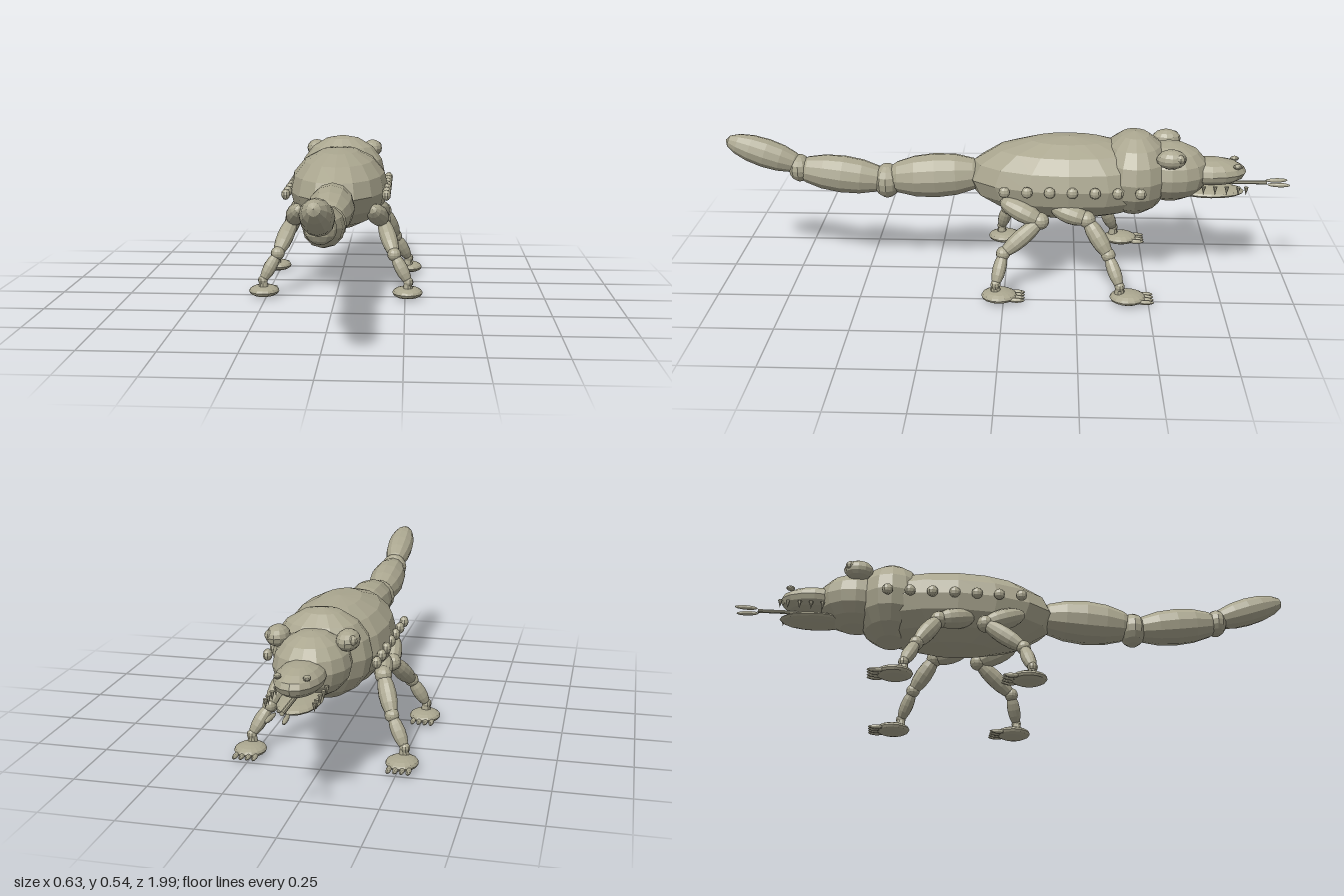
import * as THREE from 'three';

const skin = new THREE.MeshStandardMaterial({ color: 0xaaa68f, flatShading: true });
skin.name = 'skin';
const V = (x, y, z) => new THREE.Vector3(x, y, z);

export function createModel() {
  const model = new THREE.Group();
  model.name = 'lizard';

  const add = (name, geometry, parent = model) => {
    const mesh = new THREE.Mesh(geometry, skin);
    mesh.name = name;
    parent.add(mesh);
    return mesh;
  };
  // Low-poly ellipsoid from centre and radii
  const blob = (name, c, r, parent = model, w = 16, h = 8) => {
    const m = add(name, new THREE.SphereGeometry(1, w, h), parent);
    m.position.set(...c);
    m.scale.set(...r);
    return m;
  };
  // Ellipsoid stretched between two points
  const limb = (name, a, b, radius, parent = model, extra = 0.012) => {
    const d = b.clone().sub(a);
    const m = add(name, new THREE.SphereGeometry(1, 12, 8), parent);
    m.position.copy(a).add(b).multiplyScalar(0.5);
    m.scale.set(radius, d.length() / 2 + extra, radius);
    m.quaternion.setFromUnitVectors(V(0, 1, 0), d.normalize());
    return m;
  };

  // Trunk
  blob('body', [0, 0.37, -0.22], [0.183, 0.148, 0.36]);
  blob('shoulders', [0, 0.39, -0.45], [0.165, 0.15, 0.13]);

  // Head, jaws and tongue
  const head = new THREE.Group();
  head.name = 'head';
  model.add(head);
  blob('skull', [0, 0.395, -0.575], [0.125, 0.105, 0.14], head);
  blob('upperJaw', [0, 0.395, -0.72], [0.077, 0.048, 0.125], head);
  blob('lowerJaw', [0, 0.322, -0.72], [0.068, 0.018, 0.122], head);
  const tongue = add('tongue', new THREE.CylinderGeometry(0.007, 0.007, 0.2, 8), head);
  tongue.rotation.x = Math.PI / 2;
  tongue.position.set(0, 0.353, -0.82);

  for (const s of [1, -1]) {
    blob('eye', [s * 0.112, 0.475, -0.57], [0.038, 0.034, 0.052], head, 12, 8);
    blob('pupil', [s * 0.132, 0.482, -0.598], [0.016, 0.016, 0.018], head, 8, 6);
    blob('nostril', [s * 0.045, 0.426, -0.808], [0.012, 0.009, 0.016], head, 8, 6);
    limb('tongueFork', V(s * 0.02, 0.353, -0.925), V(s * 0.026, 0.353, -0.992), 0.008, head, 0.006);
    for (const z of [-0.69, -0.73, -0.77, -0.81, -0.837]) {
      const tooth = add('tooth', new THREE.ConeGeometry(0.008, 0.03, 6), head);
      tooth.rotation.x = Math.PI;
      tooth.position.set(s * 0.074, 0.348, z);
    }
    // Row of bumps along each flank
    for (let i = 0; i < 7; i++) {
      blob('flankBump', [s * 0.18, 0.372, -i * 0.0775], [0.016, 0.02, 0.02], model, 10, 6);
    }
  }

  // Tail
  const tail = new THREE.Group();
  tail.name = 'tail';
  model.add(tail);
  limb('tailBase', V(0, 0.375, 0.07), V(0, 0.353, 0.43), 0.08, tail);
  blob('tailJoint', [0, 0.342, 0.425], [0.062, 0.062, 0.05], tail, 12, 8);
  limb('tailMiddle', V(0, 0.342, 0.42), V(0, 0.385, 0.75), 0.067, tail);
  blob('tailJoint', [0, 0.385, 0.737], [0.05, 0.049, 0.04], tail, 12, 8);
  limb('tailTip', V(0, 0.395, 0.73), V(0, 0.483, 0.985), 0.052, tail);

  // Legs: hip, elbow or knee, ankle, foot and toes
  const leg = (name, s, hip, thigh, knee, ankle, footZ) => {
    const g = new THREE.Group();
    g.name = name;
    model.add(g);
    const p = (a) => V(s * a[0], a[1], a[2]);
    limb('hip', p(hip), p(thigh), 0.037, g);
    blob('hipJoint', p(thigh).toArray(), [0.03, 0.03, 0.03], g, 12, 8);
    limb('thigh', p(thigh), p(knee), 0.031, g);
    blob('kneeJoint', p(knee).toArray(), [0.025, 0.025, 0.025], g, 12, 8);
    limb('shin', p(knee), p(ankle), 0.024, g, 0.006);
    blob('ankleJoint', p(ankle).toArray(), [0.018, 0.018, 0.018], g, 10, 6);
    const post = add('anklePost', new THREE.CylinderGeometry(0.014, 0.019, 0.03, 10), g);
    post.position.set(s * 0.26, 0.046, ankle[2]);
    blob('foot', [s * 0.259, 0.022, footZ], [0.055, 0.021, 0.062], g);
    for (let i = 0; i < 4; i++) {
      const x = 0.226 + i * 0.022;
      blob('toe', [s * x, 0.018, footZ - 0.06], [0.009, 0.008, 0.03], g, 8, 6);
    }
  };
  for (const s of [1, -1]) {
    leg('rearLeg', s, [0.133, 0.318, 0.005], [0.165, 0.262, -0.125], [0.21, 0.157, 0.003], [0.262, 0.062, 0.027], 0.015);
    leg('frontLeg', s, [0.133, 0.3, -0.17], [0.165, 0.27, -0.285], [0.21, 0.157, -0.36], [0.262, 0.062, -0.4], -0.428);
  }
  return model;
}
